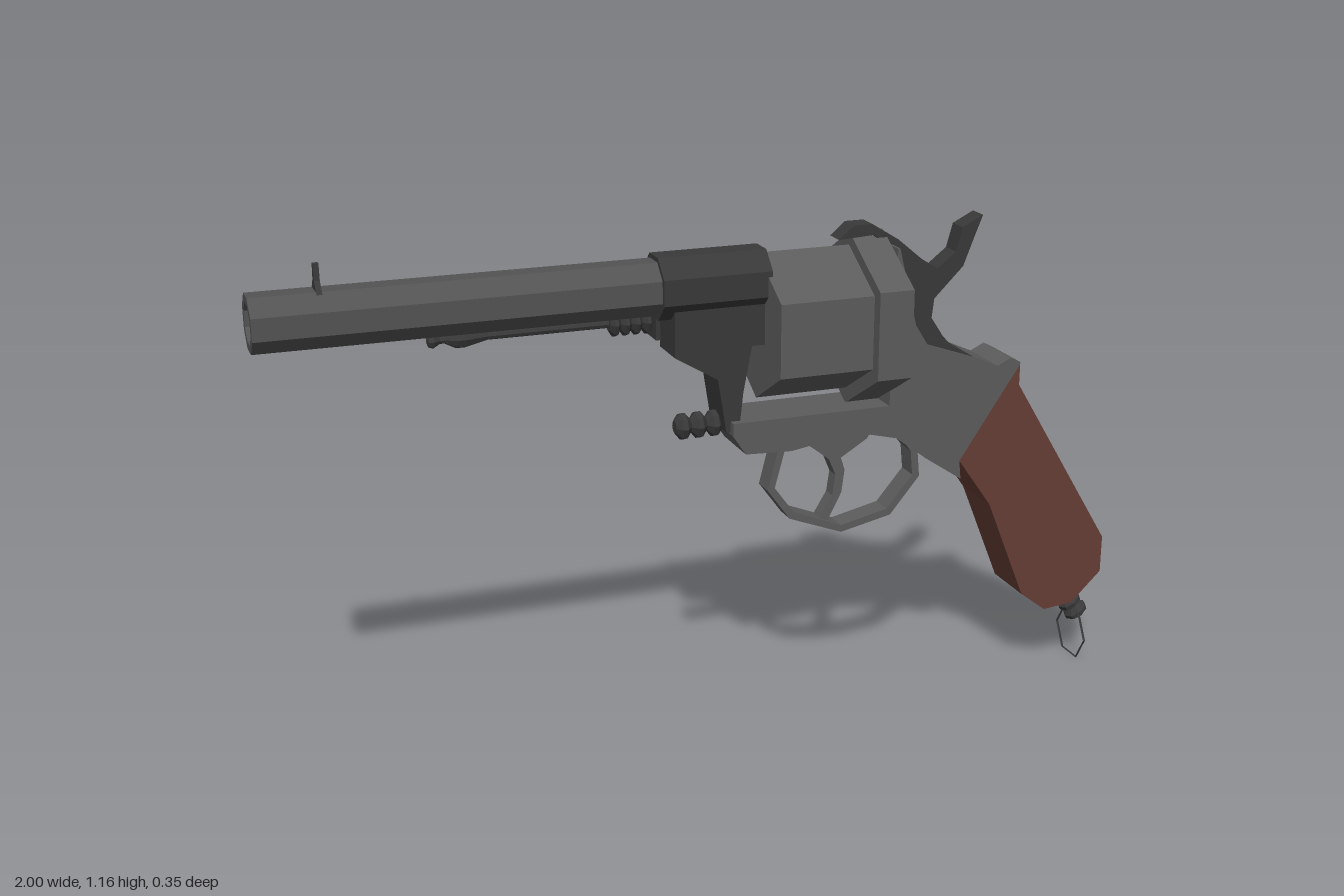
import * as THREE from 'three';

const mat = (name, color, side = THREE.FrontSide) =>
  Object.assign(new THREE.MeshStandardMaterial({ color, flatShading: true, side }), { name });

export function createModel() {
  const model = new THREE.Group();
  model.name = 'revolver';
  const steel = mat('steel', 0x5c5c5c);
  const barrelSteel = mat('barrelSteel', 0x535353);
  const darkSteel = mat('darkSteel', 0x393939);
  const wood = mat('wood', 0x653d35);

  const add = (name, geometry, material, x = 0, y = 0, z = 0) => {
    const mesh = new THREE.Mesh(geometry, material);
    mesh.name = name;
    mesh.position.set(x, y, z);
    model.add(mesh);
    return mesh;
  };
  const toPoints = (list) => list.map(([x, y]) => new THREE.Vector2(x, y));

  // Side outline extruded symmetrically about z = 0
  const plate = (name, outline, width, material, hole) => {
    const shape = new THREE.Shape(toPoints(outline));
    if (hole) shape.holes.push(new THREE.Path(toPoints(hole)));
    const g = new THREE.ExtrudeGeometry(shape, { depth: width, bevelEnabled: false });
    return add(name, g.translate(0, 0, -width / 2), material);
  };

  // Turned part along +x; profile is [radius, x] with x rising on the outside
  const turned = (name, profile, sides, material, x, y, z, twist = 0) => {
    const g = new THREE.LatheGeometry(toPoints(profile), sides);
    return add(name, g.rotateY(twist).rotateZ(-Math.PI / 2), material, x, y, z);
  };
  const solid = (r, x0, x1) => [[0, x0], [r, x0], [r, x1], [0, x1]];

  // Stack of ribs for a threaded knob
  const ribs = (count, length, inner, outer) => {
    const p = [[0, 0]];
    const step = length / count;
    for (let i = 0; i < count; i++) {
      const s = i * step;
      p.push([inner, s], [outer, s + step * 0.35], [outer, s + step * 0.65], [inner, s + step]);
    }
    p.push([0, length]);
    return p;
  };

  // Barrel with open bore, collar and sight
  const eighth = Math.PI / 8;
  turned('barrel', [[0, -0.7], [0.045, -0.7], [0.045, -1], [0.064, -1], [0.064, -0.1]],
    8, barrelSteel, 0, 1.046, 0, eighth);
  turned('barrelCollar', solid(0.075, -0.13, 0.12), 8, darkSteel, 0, 1.046, 0, eighth);
  const sight = new THREE.ExtrudeGeometry(
    new THREE.Shape(toPoints([[-0.03, 0], [0.03, 0], [0.009, 0.025], [0.006, 0.06], [-0.006, 0.06], [-0.009, 0.025]])),
    { depth: 0.012, bevelEnabled: false });
  add('frontSight', sight.rotateY(Math.PI / 2), darkSteel, -0.861, 1.1, 0);

  // Bracket linking the barrel to the lower strap
  plate('barrelBracket', [[-0.1, 1.0], [-0.1, 0.895], [0, 0.835], [0.02, 0.71], [0.05, 0.71],
    [0.06, 0.8], [0.08, 0.905], [0.12, 0.905], [0.12, 1.0]], 0.1, darkSteel);
  turned('cylinderPin', solid(0.035, 0.05, 0.14), 8, darkSteel, 0, 0.935, 0);
  turned('bracketScrew', ribs(3, 0.11, 0.015, 0.031), 8, darkSteel, -0.085, 0.72, 0);

  // Ejector rod beside the barrel
  add('ejectorHousing', new THREE.BoxGeometry(0.18, 0.07, 0.08), darkSteel, -0.02, 0.945, -0.088);
  turned('ejectorCollar', ribs(4, 0.1, 0.018, 0.031), 8, darkSteel, -0.205, 0.945, -0.098);
  turned('ejectorRod', [[0, 0], [0.014, 0.004], [0.018, 0.015], [0.009, 0.03], [0.009, 0.04], [0.022, 0.065],
    [0.022, 0.085], [0.01, 0.135], [0.01, 0.42], [0, 0.42]], 8, darkSteel, -0.615, 0.945, -0.098);

  // Hexagonal cylinder and recoil shield, points up
  const hexTwist = Math.PI / 6;
  turned('cylinder', solid(0.167, 0.11, 0.335), 6, steel, 0, 0.935, 0, hexTwist);
  turned('recoilShield', solid(0.2, 0.33, 0.412), 6, steel, 0, 0.932, 0, hexTwist);

  // Frame
  plate('frame', [[0.03, 0.735], [0.03, 0.705], [0.06, 0.66], [0.17, 0.655], [0.33, 0.68], [0.43, 0.655],
    [0.51, 0.595], [0.6, 0.535], [0.595, 0.58], [0.742, 0.8], [0.742, 0.805], [0.717, 0.818],
    [0.683, 0.802], [0.62, 0.83], [0.53, 0.86], [0.5, 0.872], [0.47, 0.92], [0.425, 1.1],
    [0.42, 1.1], [0.41, 0.735]], 0.136, steel);
  plate('frameBack', [[0.425, 1.1], [0.47, 0.92], [0.5, 0.872], [0.62, 0.83], [0.55, 0.868],
    [0.505, 0.89], [0.495, 0.97], [0.465, 1.04]], 0.136, darkSteel);

  // Hammer
  plate('hammer', [[0.295, 1.12], [0.33, 1.15], [0.375, 1.15], [0.44, 1.11], [0.5, 1.06], [0.54, 1.035],
    [0.585, 1.07], [0.6, 1.125], [0.65, 1.15], [0.63, 1.1], [0.605, 1.035], [0.565, 0.995], [0.535, 0.965],
    [0.53, 0.92], [0.56, 0.875], [0.6, 0.83], [0.48, 0.85], [0.44, 1.05], [0.38, 1.125]], 0.05, darkSteel);

  // Trigger and guard
  plate('triggerGuard', [[0.16, 0.67], [0.13, 0.55], [0.185, 0.475], [0.315, 0.425], [0.44, 0.452],
    [0.512, 0.54], [0.505, 0.61], [0.46, 0.665]], 0.055, steel,
    [[0.175, 0.66], [0.147, 0.555], [0.195, 0.49], [0.315, 0.442], [0.43, 0.468],
      [0.494, 0.545], [0.488, 0.605], [0.448, 0.655]]);
  plate('trigger', [[0.225, 0.67], [0.24, 0.64], [0.285, 0.605], [0.302, 0.565], [0.295, 0.515], [0.262, 0.46],
    [0.285, 0.455], [0.318, 0.52], [0.325, 0.575], [0.315, 0.605], [0.38, 0.645], [0.4, 0.68]], 0.035, steel);

  // Grip
  plate('grip', [[0.742, 0.8], [0.742, 0.75], [0.995, 0.335], [0.995, 0.245], [0.92, 0.172], [0.845, 0.165],
    [0.78, 0.215], [0.68, 0.46], [0.595, 0.58]], 0.136, wood);

  // Lanyard knob and ring
  const knob = turned('lanyardKnob', ribs(3, 0.1, 0.014, 0.03), 8, darkSteel, 0.925, 0.185, 0);
  knob.rotation.z = -0.95;
  const ring = new THREE.TorusGeometry(0.067, 0.003, 4, 6);
  add('lanyardRing', ring.rotateY(Math.PI / 2), darkSteel, 0.965, 0.061, 0);

  return model;
}
